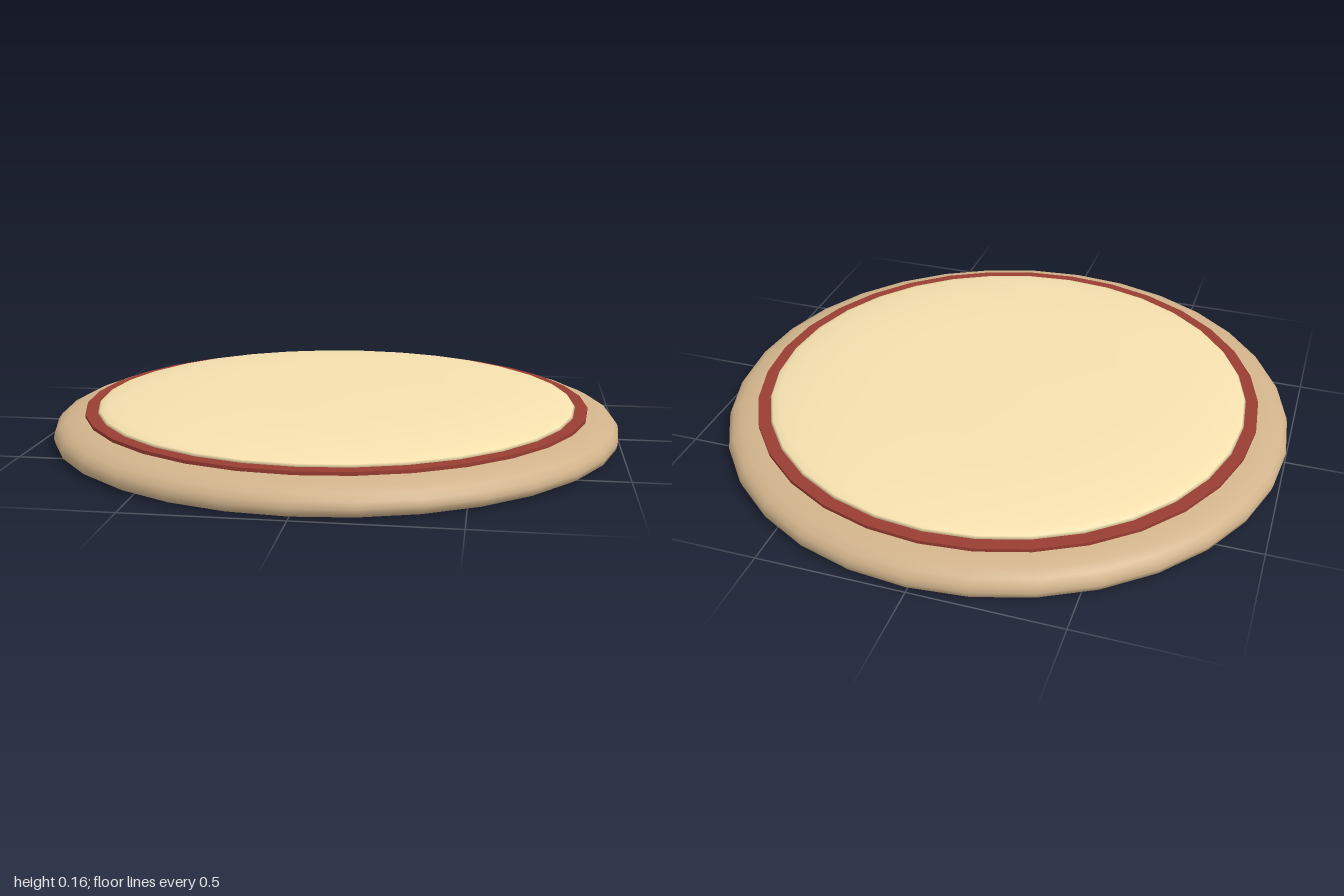
import * as THREE from 'three';

const SIDES = 32;

// Smooth turned part from a bottom-to-top [radius, height] profile
function turned(name, color, profile) {
  const points = profile.map(([r, y]) => new THREE.Vector2(r, y));
  const mesh = new THREE.Mesh(
    new THREE.LatheGeometry(points, SIDES),
    new THREE.MeshStandardMaterial({ color })
  );
  mesh.name = name;
  return mesh;
}

export function createModel() {
  const model = new THREE.Group();
  model.name = 'pizza';

  // Flat-bottomed dough with a rounded rim
  model.add(turned('crust', 0xd2b48c, [
    [0, 0], [0.93, 0], [0.975, 0.004], [0.995, 0.016], [1, 0.035],
    [0.995, 0.055], [0.98, 0.075], [0.95, 0.09], [0.9, 0.1], [0.84, 0.104], [0, 0.104],
  ]));

  // Thin sauce disc showing as a ring around the cheese
  const sauce = new THREE.Mesh(
    new THREE.CylinderGeometry(0.89, 0.89, 0.02, SIDES),
    new THREE.MeshStandardMaterial({ color: 0x993d32 })
  );
  sauce.name = 'sauce';
  sauce.position.y = 0.102;
  model.add(sauce);

  // Low domed cheese layer with a short rounded edge
  model.add(turned('cheese', 0xf5e0ae, [
    [0.835, 0.108], [0.847, 0.113], [0.84, 0.121], [0.815, 0.129],
    [0.74, 0.142], [0.64, 0.152], [0.53, 0.158], [0.4, 0.162], [0, 0.163],
  ]));

  return model;
}
